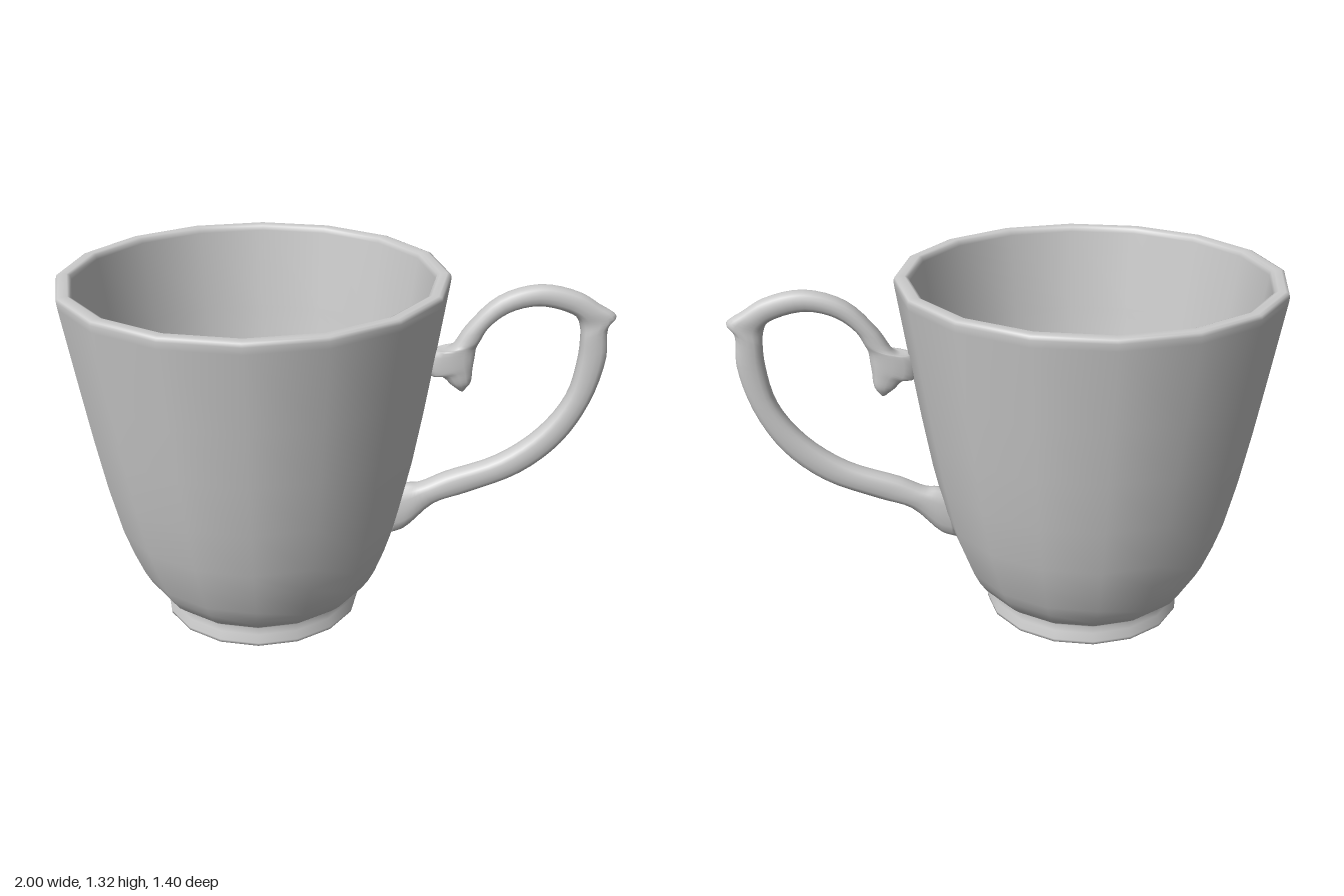
import * as THREE from 'three';

const CUP_X = -0.3;

// Cup: one closed profile from the recessed underside, up the outside, over the rim to the inner floor
function makeCup(material) {
  const profile = [
    [0, 0.06], [0.225, 0.06], [0.237, 0.052], [0.243, 0.008], [0.252, 0],
    [0.365, 0], [0.374, 0.003], [0.375, 0.014], [0.364, 0.045], [0.359, 0.07], [0.364, 0.08],
    [0.385, 0.09], [0.418, 0.12], [0.445, 0.16], [0.468, 0.205], [0.505, 0.3], [0.537, 0.4],
    [0.578, 0.58], [0.615, 0.78], [0.65, 0.99], [0.697, 1.28],
    [0.7, 1.305], [0.696, 1.317], [0.685, 1.321], [0.66, 1.321], [0.649, 1.316], [0.644, 1.3],
    [0.6, 1.0], [0.565, 0.78], [0.528, 0.58], [0.487, 0.4], [0.45, 0.28], [0.41, 0.2],
    [0.36, 0.155], [0.29, 0.135], [0.15, 0.13], [0, 0.13],
  ].map(([r, y]) => new THREE.Vector2(r, y));
  const cup = new THREE.Mesh(new THREE.LatheGeometry(profile, 16), material);
  cup.name = 'cup';
  cup.position.x = CUP_X;
  return cup;
}

// Handle: oval sections spanned between an outer and an inner edge curve
function makeHandle(material) {
  // outer x, outer y, inner x, inner y, half depth
  const sections = [
    [0.44, 0.877, 0.46, 0.873, 0.02], [0.41, 0.9, 0.485, 0.91, 0.036],
    [0.377, 0.93, 0.49, 0.96, 0.042], [0.335, 0.935, 0.495, 1.0, 0.045],
    [0.335, 1.025, 0.5, 1.04, 0.045], [0.4, 1.035, 0.515, 1.075, 0.043],
    [0.46, 1.12, 0.54, 1.12, 0.041], [0.57, 1.23, 0.61, 1.175, 0.041],
    [0.72, 1.275, 0.71, 1.2, 0.041], [0.865, 1.245, 0.81, 1.18, 0.041],
    [0.94, 1.2, 0.855, 1.155, 0.041], [0.998, 1.16, 0.87, 1.12, 0.038],
    [0.972, 1.12, 0.875, 1.075, 0.04], [0.975, 1.005, 0.872, 0.99, 0.041],
    [0.93, 0.83, 0.84, 0.845, 0.041], [0.835, 0.665, 0.745, 0.71, 0.042],
    [0.69, 0.54, 0.595, 0.6, 0.043], [0.49, 0.455, 0.4, 0.53, 0.044],
    [0.365, 0.41, 0.305, 0.487, 0.046], [0.25, 0.3, 0.265, 0.487, 0.047],
    [0.195, 0.278, 0.22, 0.475, 0.044],
  ];
  const outer = new THREE.CatmullRomCurve3(sections.map(s => new THREE.Vector3(s[0], s[1], s[4])));
  const inner = new THREE.CatmullRomCurve3(sections.map(s => new THREE.Vector3(s[2], s[3], s[4])));
  const rows = (sections.length - 1) * 4, sides = 16;
  const soften = v => Math.sign(v) * Math.abs(v) ** 0.8;
  const positions = [], indices = [];

  // the first and last rows shrink to a point to close the ends
  for (let i = -1; i <= rows + 1; i++) {
    const t = THREE.MathUtils.clamp(i / rows, 0, 1);
    const size = i < 0 || i > rows ? 0 : 1;
    const a = outer.getPoint(t), b = inner.getPoint(t);
    const mid = a.clone().add(b).multiplyScalar(0.5);
    const half = a.clone().sub(b).multiplyScalar(0.5 * size);
    for (let j = 0; j < sides; j++) {
      const angle = (j / sides) * Math.PI * 2;
      const c = soften(Math.cos(angle)), s = soften(Math.sin(angle));
      positions.push(mid.x + half.x * c, mid.y + half.y * c, a.z * size * s);
    }
  }
  for (let i = 0; i < rows + 2; i++) {
    for (let j = 0; j < sides; j++) {
      const p = i * sides + j, q = i * sides + (j + 1) % sides;
      indices.push(p, q, p + sides, q, q + sides, p + sides);
    }
  }
  const geometry = new THREE.BufferGeometry();
  geometry.setAttribute('position', new THREE.Float32BufferAttribute(positions, 3));
  geometry.setIndex(indices);
  geometry.computeVertexNormals();
  const handle = new THREE.Mesh(geometry, material);
  handle.name = 'handle';
  return handle;
}

export function createModel() {
  const group = new THREE.Group();
  group.name = 'teacup';
  const material = new THREE.MeshStandardMaterial({ color: 0xcccccc });
  group.add(makeCup(material), makeHandle(material));
  return group;
}
